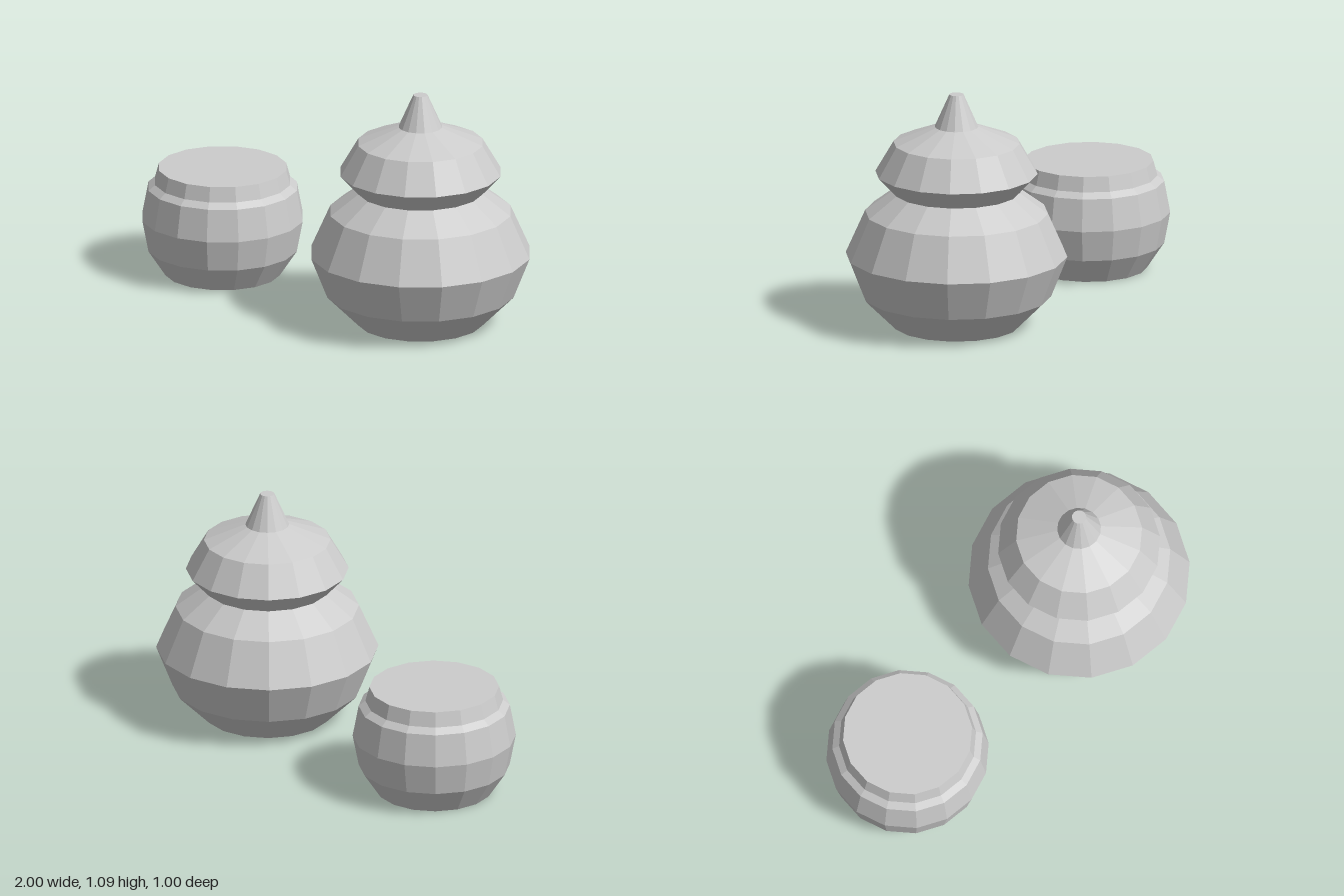
import * as THREE from 'three';

const SIDES = 16;
const material = new THREE.MeshStandardMaterial({ color: 0xcccccc, flatShading: true });

// Faceted turned part: profile holds [distance from axis to flat side, height], bottom to top
function turned(name, profile) {
  const toCorner = 1 / Math.cos(Math.PI / SIDES);
  const points = profile.map(([r, y]) => new THREE.Vector2(r * toCorner, y));
  const mesh = new THREE.Mesh(new THREE.LatheGeometry(points, SIDES, Math.PI / SIDES), material);
  mesh.name = name;
  return mesh;
}

export function createModel() {
  const model = new THREE.Group();
  model.name = 'jarAndBowl';

  // Tall jar with a domed lid and a tapered knob
  const jar = new THREE.Group();
  jar.name = 'liddedJar';
  jar.position.set(0.503, 0, -0.003);
  jar.add(
    turned('jarBody', [[0, 0], [0.283, 0], [0.424, 0.143], [0.497, 0.332], [0.41, 0.533], [0.283, 0.63]]),
    turned('jarLid', [[0.283, 0.63], [0.364, 0.72], [0.283, 0.862], [0.098, 0.938]]),
    turned('lidKnob', [[0.098, 0.938], [0.032, 1.09], [0, 1.09]])
  );

  // Low round pot with a stepped collar and a flat top
  const pot = new THREE.Group();
  pot.name = 'smallPot';
  pot.position.set(-0.635, 0, 0.133);
  pot.add(
    turned('potBody', [[0, 0], [0.26, 0], [0.338, 0.12], [0.365, 0.265], [0.338, 0.412]]),
    turned('potCollar', [[0.338, 0.412], [0.308, 0.437], [0.29, 0.505], [0, 0.505]])
  );

  model.add(jar, pot);
  return model;
}
